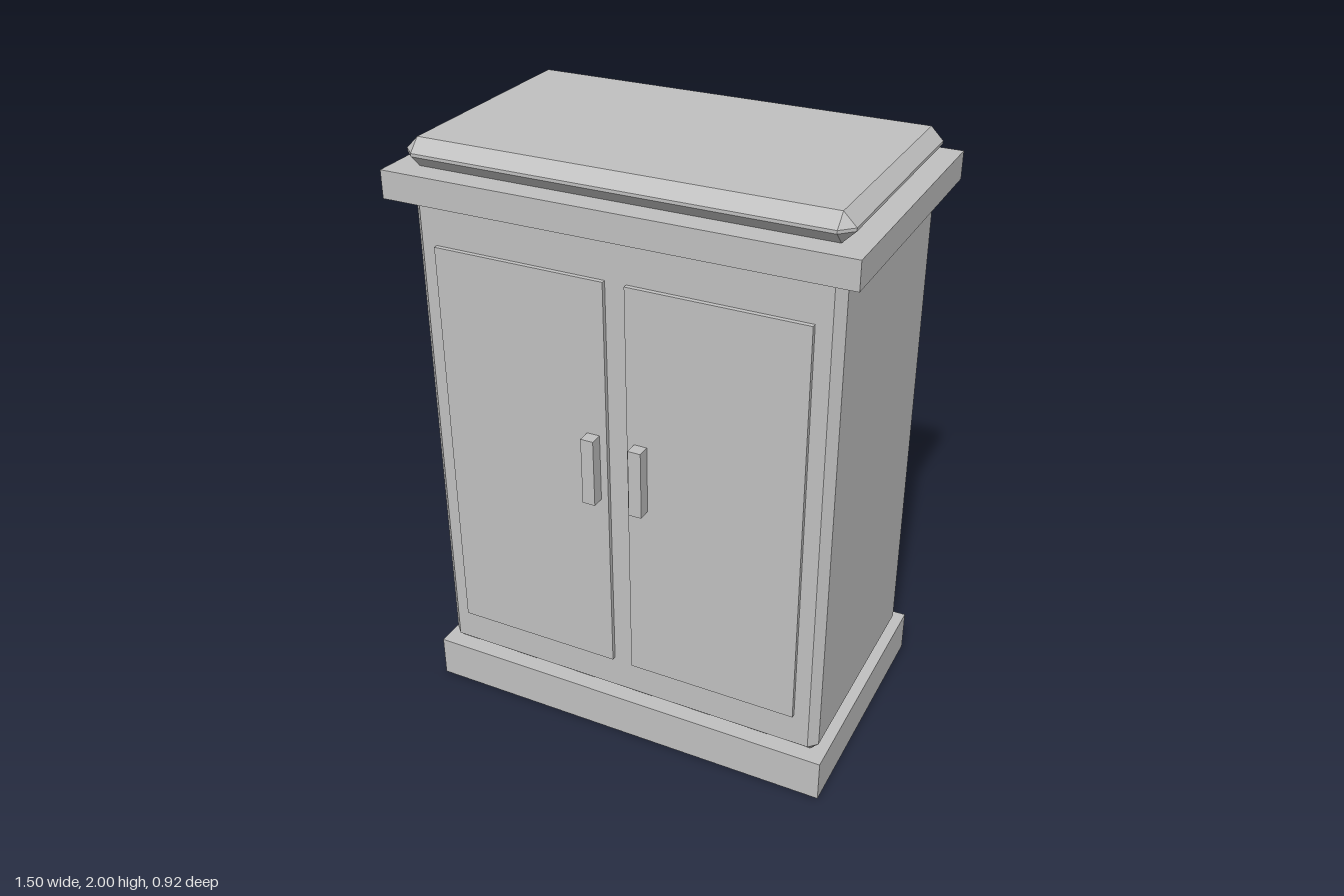
import * as THREE from 'three';
import { ConvexGeometry } from 'three/addons/geometries/ConvexGeometry.js';

// Box with every edge and corner cut at 45 degrees
function chamferedBox(w, h, d, c) {
  const points = [];
  for (const sx of [-1, 1]) for (const sy of [-1, 1]) for (const sz of [-1, 1]) {
    const x = w / 2, y = h / 2, z = d / 2;
    points.push(
      new THREE.Vector3(sx * x, sy * (y - c), sz * (z - c)),
      new THREE.Vector3(sx * (x - c), sy * y, sz * (z - c)),
      new THREE.Vector3(sx * (x - c), sy * (y - c), sz * z)
    );
  }
  return new ConvexGeometry(points);
}

export function createModel() {
  const model = new THREE.Group();
  model.name = 'cabinet';
  const grey = new THREE.MeshStandardMaterial({ color: 0xc0c0c0 });
  grey.name = 'grey';

  function add(name, geometry, x, y, z) {
    const mesh = new THREE.Mesh(geometry, grey);
    mesh.name = name;
    mesh.position.set(x, y, z);
    model.add(mesh);
  }

  // Plinth, carcass, cornice and top slab, stacked
  add('plinth', new THREE.BoxGeometry(1.436, 0.146, 0.862), 0, 0.073, 0);
  add('carcass', chamferedBox(1.38, 1.674, 0.8, 0.028), 0, 0.983, 0);
  add('cornice', new THREE.BoxGeometry(1.496, 0.09, 0.916), 0, 1.865, 0);
  add('topSlab', chamferedBox(1.406, 0.09, 0.834, 0.04), 0, 1.955, 0);

  // Mirrored doors with their handles
  for (const [side, s] of [['left', 1], ['right', -1]]) {
    add(side + 'Door', new THREE.BoxGeometry(0.576, 1.382, 0.03), s * 0.323, 0.982, 0.4);
    add(side + 'Handle', new THREE.BoxGeometry(0.043, 0.23, 0.044), s * 0.081, 1.041, 0.436);
  }
  return model;
}
